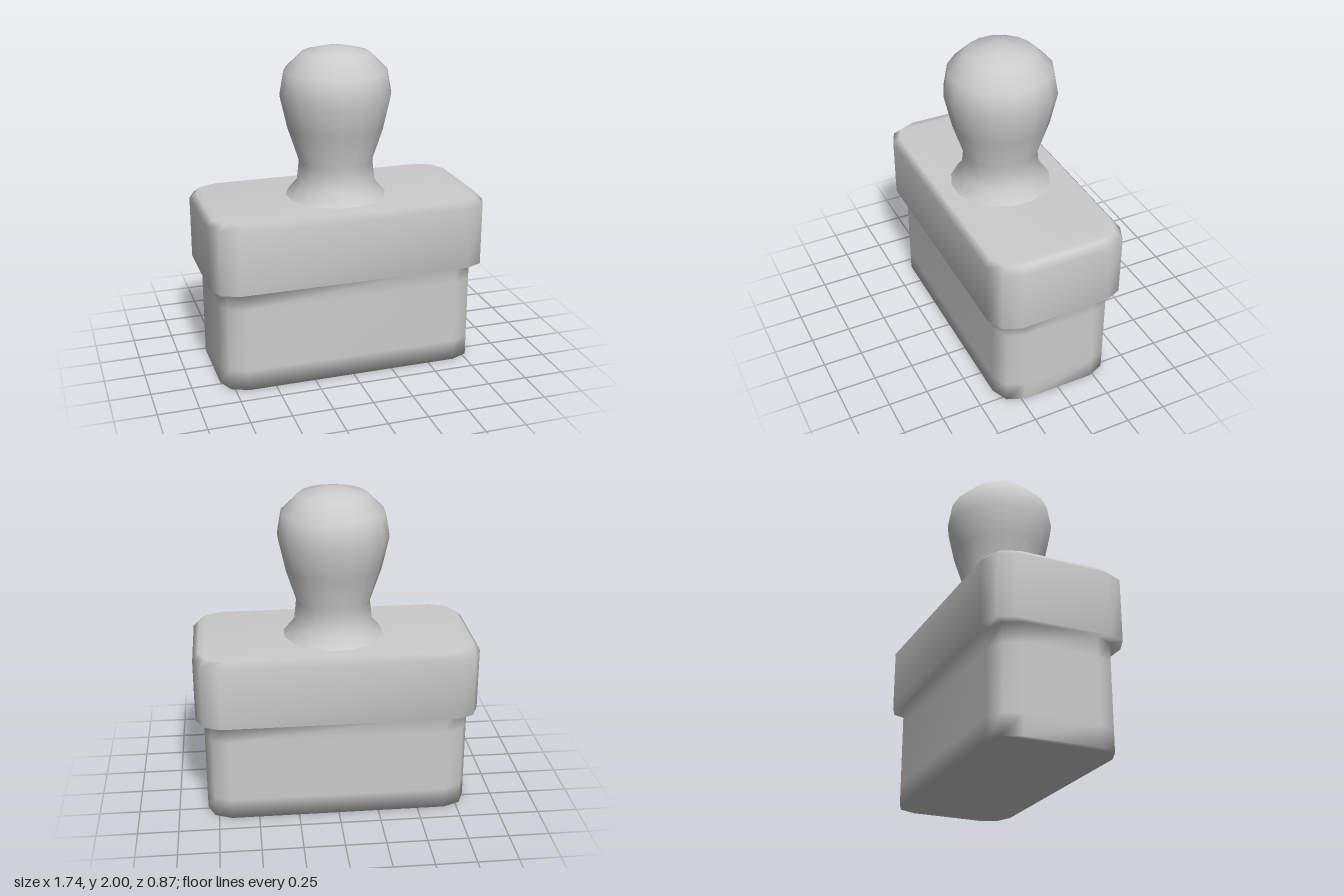
import * as THREE from 'three';

const material = new THREE.MeshStandardMaterial({ color: 0xcccccc });

// Rectangle with two-step rounded corners, 12 points starting at +x
function outline(halfX, halfZ) {
  const corner = [[halfX, halfZ - 0.15], [halfX - 0.045, halfZ - 0.045], [halfX - 0.15, halfZ]];
  const half = [...corner, ...corner.map(([x, z]) => [-x, z]).reverse()];
  return [...half, ...half.map(([x, z]) => [x, -z]).reverse()];
}

// Closed smooth solid through stacked outlines [halfX, halfZ, y]
function stackedBlock(levels) {
  const positions = [], index = [], n = 12;
  for (const [halfX, halfZ, y] of levels)
    for (const [x, z] of outline(halfX, halfZ)) positions.push(x, y, z);
  for (let k = 0; k < levels.length - 1; k++) {
    for (let i = 0; i < n; i++) {
      const a = k * n + i, b = k * n + (i + 1) % n;
      index.push(a, a + n, b, b, a + n, b + n);
    }
  }
  // End caps as strips between mirrored points
  const top = (levels.length - 1) * n;
  for (let i = 0; i < n / 2 - 1; i++) {
    const a = i, b = i + 1, c = n - 2 - i, d = n - 1 - i;
    index.push(a, b, d, b, c, d);
    index.push(top + a, top + d, top + b, top + b, top + d, top + c);
  }
  const geometry = new THREE.BufferGeometry();
  geometry.setAttribute('position', new THREE.Float32BufferAttribute(positions, 3));
  geometry.setIndex(index);
  geometry.computeVertexNormals();
  return geometry;
}

export function createModel() {
  const group = new THREE.Group();
  group.name = 'handStamp';

  // Lower base, overhanging ledge and bevelled upper block in one skin
  const body = new THREE.Mesh(stackedBlock([
    [0.82, 0.38, 0],
    [0.82, 0.38, 0.13],
    [0.82, 0.38, 0.53],
    [0.82, 0.38, 0.65],
    [0.87, 0.435, 0.65],
    [0.87, 0.435, 1.04],
    [0.835, 0.4, 1.08],
  ]), material);
  body.name = 'stampBody';
  group.add(body);

  // Turned knob handle, 16 sides
  const profile = [
    [0.315, 1.075], [0.243, 1.16], [0.228, 1.3], [0.297, 1.51], [0.341, 1.71],
    [0.315, 1.86], [0.207, 1.965], [0.065, 2], [0, 2],
  ].map(([r, y]) => new THREE.Vector2(r, y));
  const handle = new THREE.Mesh(new THREE.LatheGeometry(profile, 16, Math.PI / 16), material);
  handle.name = 'handle';
  group.add(handle);

  return group;
}
